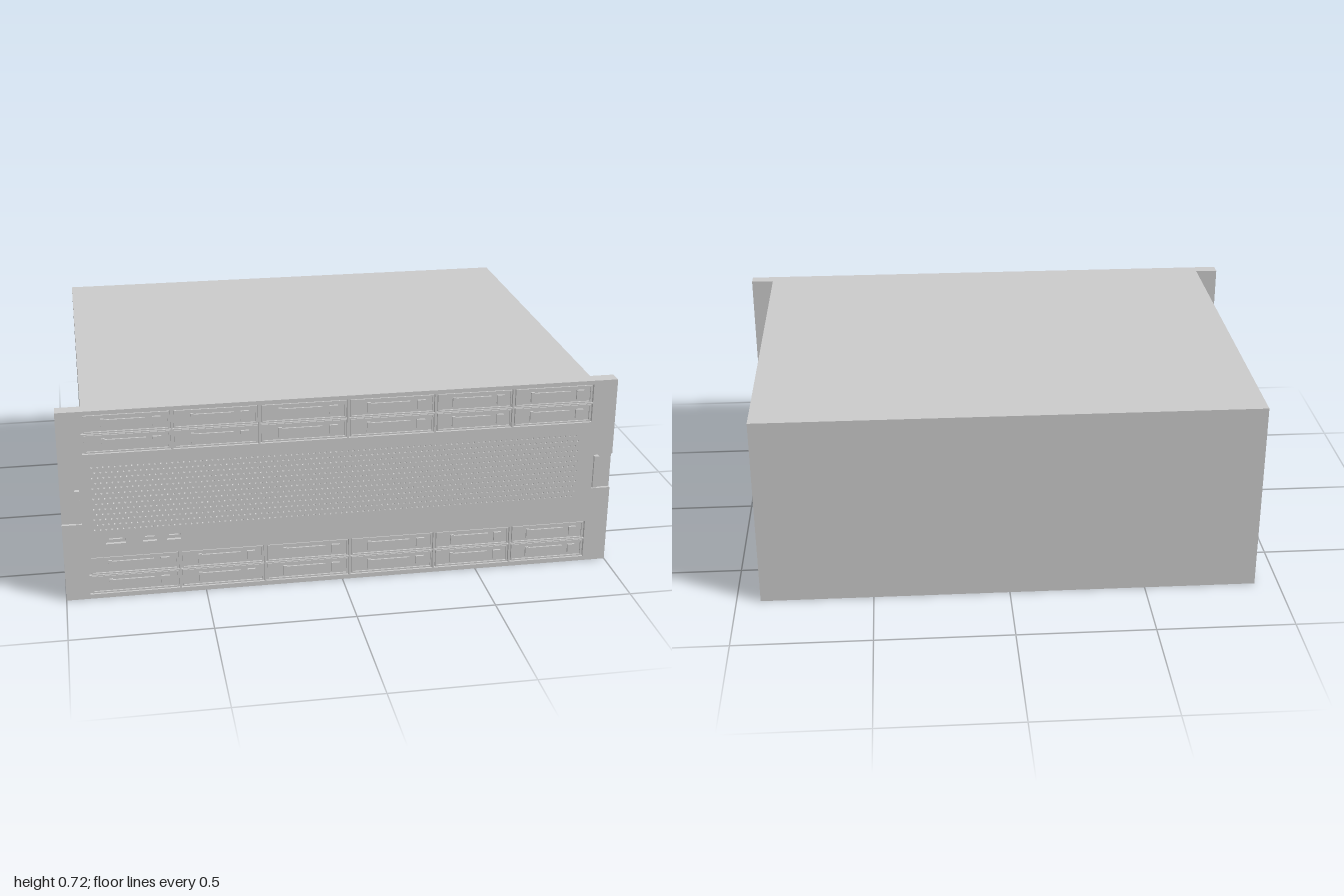
import * as THREE from 'three';

export function createModel() {
  const model = new THREE.Group();
  const grey = new THREE.MeshStandardMaterial({ color: 0xcccccc, flatShading: true });
  const FLOOR = 0.708, FACE = 0.72;

  // Box given by its min and max corners
  function box(name, x0, x1, y0, y1, z0, z1, parent = model) {
    const mesh = new THREE.Mesh(new THREE.BoxGeometry(x1 - x0, y1 - y0, z1 - z0), grey);
    mesh.position.set((x0 + x1) / 2, (y0 + y1) / 2, (z0 + z1) / 2);
    mesh.name = name;
    parent.add(mesh);
    return mesh;
  }

  const rectHole = (x0, x1, y0, y1) => new THREE.Path([
    [x0, y0], [x0, y1], [x1, y1], [x1, y0],
  ].map(([x, y]) => new THREE.Vector2(x, y)));

  // Case and the plate carrying the rack ears
  box('case', -0.912, 0.912, 0, 0.72, -0.72, 0.67);
  box('frontPlate', -1, 1, 0, 0.72, 0.67, FLOOR);

  // Front bezel, notched at both ends for the grips
  const bezel = new THREE.Shape([
    [-1, 0], [1, 0], [1, 0.295], [0.93, 0.295], [0.93, 0.43], [1, 0.43],
    [1, 0.72], [-1, 0.72], [-1, 0.43], [-0.93, 0.43], [-0.93, 0.295], [-1, 0.295],
  ].map(([x, y]) => new THREE.Vector2(x, y)));

  // Drive bay openings and their column edges
  const rows = [
    { name: 'upper', y0: 0.56, y1: 0.705, edges: [-0.915, -0.605, -0.3, 0.015, 0.33, 0.615, 0.912] },
    { name: 'lower', y0: 0.017, y1: 0.162, edges: [-0.915, -0.592, -0.285, 0.025, 0.34, 0.628, 0.915] },
  ];
  for (const { edges, y0, y1 } of rows) bezel.holes.push(rectHole(edges[0], edges[6], y0, y1));

  // Service ports below the ventilation field
  const ports = [[-0.815, 0.07], [-0.695, 0.05], [-0.61, 0.05]];
  for (const [x, w] of ports) bezel.holes.push(rectHole(x - w / 2, x + w / 2, 0.212, 0.236));

  // Staggered hexagonal ventilation holes
  for (let row = 0; row < 13; row++) {
    for (let col = 0; col < 88; col++) {
      const x = -0.885 + col * 0.02 + (row % 2) * 0.01;
      const y = 0.27 + row * 0.02;
      const hole = [];
      for (let k = 0; k < 6; k++) {
        const a = -k * Math.PI / 3 + Math.PI / 6;
        hole.push(new THREE.Vector2(x + 0.004 * Math.cos(a), y + 0.004 * Math.sin(a)));
      }
      bezel.holes.push(new THREE.Path(hole));
    }
  }
  const bezelMesh = new THREE.Mesh(
    new THREE.ExtrudeGeometry(bezel, { depth: FACE - FLOOR, bevelEnabled: false }), grey);
  bezelMesh.name = 'bezel';
  bezelMesh.position.z = FLOOR;
  model.add(bezelMesh);

  // Connector tongues inside the ports
  for (const [x, w] of ports) box('portTongue', x - w / 3, x + w / 3, 0.22, 0.228, FLOOR, 0.716);

  // Grip bars in the end notches
  for (const s of [-1, 1]) {
    const x = s * 0.941;
    box('gripBar', x - 0.009, x + 0.009, 0.3, 0.424, FLOOR, 0.724);
  }

  // One drive carrier: tray face, rim, latch handle and release button
  function drive(x0, x1, y0, y1) {
    const g = new THREE.Group();
    g.name = 'driveCarrier';
    const w = x1 - x0, t = 0.005, rim = 0.718;
    box('tray', x0, x1, y0, y1, FLOOR, 0.712, g);
    box('rimBottom', x0, x1, y0, y0 + t, 0.712, rim, g);
    box('rimTop', x0, x1, y1 - t, y1, 0.712, rim, g);
    box('rimLeft', x0, x0 + t, y0 + t, y1 - t, 0.712, rim, g);
    box('rimRight', x1 - t, x1, y0 + t, y1 - t, 0.712, rim, g);
    box('latchHandle', x0 + w * 0.24, x0 + w * 0.72, y0 + 0.018, y1 - 0.018, 0.712, rim, g);
    box('handleEnd', x0 + w * 0.2, x0 + w * 0.24, y0 + 0.014, y1 - 0.014, 0.712, FACE, g);
    box('releaseButton', x0 + w * 0.8, x0 + w * 0.9, y0 + 0.016, y1 - 0.016, 0.712, FACE, g);
    model.add(g);
  }

  // Two drives per column, with upright dividers and a shelf between them
  for (const { name, y0, y1, edges } of rows) {
    const mid = (y0 + y1) / 2;
    box(name + 'Shelf', edges[0], edges[6], mid - 0.002, mid + 0.002, FLOOR, 0.719);
    for (let i = 0; i < 6; i++) {
      const a = edges[i] + 0.009, b = edges[i + 1] - 0.006;
      drive(a, b, y0 + 0.003, mid - 0.004);
      drive(a, b, mid + 0.004, y1 - 0.003);
      if (i) box(name + 'Divider', edges[i] - 0.003, edges[i] + 0.004, y0, y1, FLOOR, FACE);
    }
  }
  return model;
}
